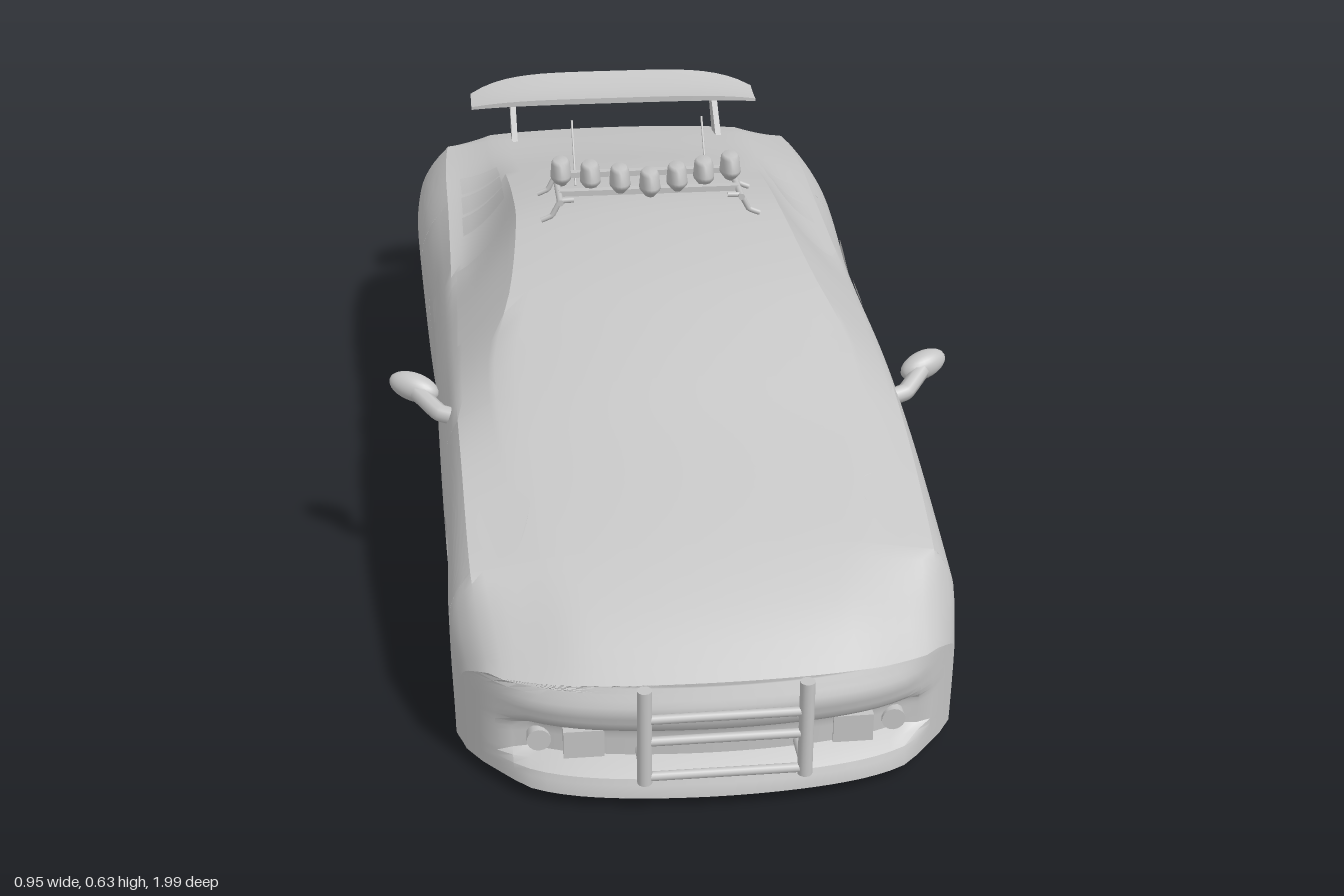
import * as THREE from 'three';
import { toCreasedNormals } from 'three/addons/utils/BufferGeometryUtils.js';

const V = (x, y, z) => new THREE.Vector3(x, y, z);
const { lerp, smoothstep } = THREE.MathUtils;

// Body stations: z, top y, roof edge x/y, belt x/y, widest x/y, sill x
const stations = [
  [0.95, 0.205, 0.20, 0.20, 0.335, 0.19, 0.375, 0.15, 0.37],
  [0.85, 0.258, 0.21, 0.252, 0.345, 0.23, 0.385, 0.18, 0.385],
  [0.73, 0.308, 0.24, 0.297, 0.355, 0.278, 0.39, 0.2, 0.385],
  [0.5, 0.388, 0.29, 0.367, 0.362, 0.348, 0.392, 0.25, 0.385],
  [0.3, 0.462, 0.30, 0.432, 0.367, 0.38, 0.397, 0.27, 0.388],
  [0.13, 0.51, 0.265, 0.493, 0.368, 0.392, 0.40, 0.29, 0.39],
  [-0.1, 0.54, 0.245, 0.526, 0.367, 0.40, 0.402, 0.3, 0.39],
  [-0.25, 0.534, 0.245, 0.518, 0.367, 0.41, 0.407, 0.3, 0.395],
  [-0.45, 0.505, 0.25, 0.488, 0.368, 0.422, 0.422, 0.31, 0.405],
  [-0.65, 0.466, 0.26, 0.455, 0.37, 0.43, 0.433, 0.31, 0.42],
  [-0.85, 0.437, 0.27, 0.433, 0.364, 0.42, 0.428, 0.3, 0.41],
  [-0.93, 0.425, 0.27, 0.422, 0.352, 0.41, 0.415, 0.3, 0.395],
];

// Smooth interpolation between stations
function stationAt(z) {
  const n = stations.length;
  let i = 0;
  while (i < n - 2 && z < stations[i + 1][0]) i++;
  const a = stations[i], b = stations[i + 1], p = stations[Math.max(0, i - 1)], q = stations[Math.min(n - 1, i + 2)];
  const h = b[0] - a[0], t = (z - a[0]) / h;
  return a.map((v, k) => {
    const m0 = (b[k] - p[k]) / (b[0] - p[0]) * h, m1 = (q[k] - v) / (q[0] - a[0]) * h;
    const t2 = t * t, t3 = t2 * t;
    return (2 * t3 - 3 * t2 + 1) * v + (t3 - 2 * t2 + t) * m0 + (3 * t2 - 2 * t3) * b[k] + (t3 - t2) * m1;
  });
}
function sideX(z, y) {
  const [, , , , bx, by, wx, wy, sx] = stationAt(z);
  return y > wy ? lerp(wx, bx, ((y - wy) / (by - wy)) ** 2) : lerp(wx, sx, ((wy - y) / wy) ** 2);
}
// Flank between belt (t = 0) and roof edge (t = 1), hollowed towards the rear shoulder
function flank(z, t) {
  const [, , rx, ry, bx, by] = stationAt(z);
  return [lerp(bx, rx, t), lerp(by, ry, t ** (1 + 0.8 * smoothstep(-z, -0.05, 0.3)))];
}
function topY(x, z) {
  const [, yc, rx, ry, bx] = stationAt(z);
  return x < rx ? lerp(yc, ry, (x / rx) ** 2) : flank(z, (bx - x) / (bx - rx))[1];
}
function table(rows, y) {
  if (y <= rows[0][0]) return rows[0][1];
  for (let i = 1; i < rows.length; i++)
    if (y <= rows[i][0]) return lerp(rows[i - 1][1], rows[i][1], (y - rows[i - 1][0]) / (rows[i][0] - rows[i - 1][0]));
  return rows[rows.length - 1][1];
}
const noseProfile = [[0.03, 0.025], [0.055, 0.015], [0.07, -0.02], [0.115, -0.02], [0.13, 0.008], [0.165, 0.016], [0.2, 0]];
const tailProfile = [[0.11, 0.04], [0.14, 0.045], [0.2, 0.065], [0.25, 0.065], [0.285, 0.04], [0.31, -0.008], [0.4, -0.008], [0.42, 0]];

// Rounds nose and tail in plan and gives them their bumper profiles
function bend(x, y, z) {
  if (z > 0.73) {
    const q = Math.abs(x) / 0.38, relief = lerp(table(noseProfile, y), 0.012, smoothstep(q, 0.72, 0.86));
    z += (z - 0.73) / 0.22 * (relief - 0.06 * q ** 2 - 0.1 * q ** 6);
  } else if (z < -0.84) {
    const q = Math.abs(x) / 0.42;
    z += (-z - 0.84) / 0.09 * (0.04 * q ** 2 + 0.05 * q ** 6 - table(tailProfile, y));
  }
  return V(x, y, z);
}

// Half cross-section from lower edge to top centre
function half(z, b) {
  const [, yc, rx, ry, , by] = stationAt(z), pts = [];
  for (let i = 0; i <= 18; i++) { const y = lerp(b, by, i / 18); pts.push([sideX(z, y), y]); }
  for (let i = 1; i <= 6; i++) pts.push(flank(z, i / 6));
  for (let i = 7; i >= 0; i--) pts.push([rx * i / 8, lerp(yc, ry, (i / 8) ** 2)]);
  return pts;
}

// Surface through rows of points
function grid(rows, crease = 0.6) {
  const g = new THREE.BufferGeometry(), idx = [], n = rows[0].length;
  g.setFromPoints(rows.flat());
  for (let i = 0; i < rows.length - 1; i++)
    for (let j = 0; j < n - 1; j++) {
      const a = i * n + j, b = a + n;
      idx.push(a, b, a + 1, b, b + 1, a + 1);
    }
  g.setIndex(idx);
  return toCreasedNormals(g, crease);
}

export function createModel() {
  const car = new THREE.Group();
  car.name = 'car';
  const grey = new THREE.MeshStandardMaterial({ color: 0xc4c4c4, side: THREE.DoubleSide });
  grey.name = 'plain grey';
  const add = (name, geo, x = 0, y = 0, z = 0) => {
    const m = new THREE.Mesh(geo, grey);
    m.name = name;
    m.position.set(x, y, z);
    car.add(m);
    return m;
  };
  const box = (name, w, h, d, x, y, z) => add(name, new THREE.BoxGeometry(w, h, d), x, y, z);
  const rod = (name, a, b, r, r2 = r) => {
    const d = b.clone().sub(a), m = add(name, new THREE.CylinderGeometry(r2, r, d.length(), 14));
    m.position.copy(a).addScaledVector(d, 0.5);
    m.quaternion.setFromUnitVectors(V(0, 1, 0), d.normalize());
  };
  const tube = (name, pts, r) => add(name, new THREE.TubeGeometry(new THREE.CatmullRomCurve3(pts, false, 'catmullrom', 0.2), 24, r, 8));
  const flat = pts => pts.map(p => new THREE.Vector2(...p));

  // Lower edge of the body with both wheel arches
  const run = (z0, b0, z1, b1, n) => Array.from({ length: n + 1 }, (_, i) => [lerp(z0, z1, i / n), lerp(b0, b1, i / n)]);
  const arch = (c, cy, r, b0, b1) => [[c + r, b0], ...Array.from({ length: 25 }, (_, i) =>
    [c + r * Math.cos(Math.PI * i / 24), cy + r * Math.sin(Math.PI * i / 24)]), [c - r, b1]];
  const front = run(0.95, 0.025, 0.73, 0.006, 8), middle = run(0.39, 0.003, -0.48, 0.035, 18), rear = run(-0.84, 0.06, -0.93, 0.105, 6);
  const arches = [arch(0.56, 0.095, 0.17, 0.006, 0.003), arch(-0.66, 0.12, 0.18, 0.035, 0.06)];
  const edge = [...front, ...arches[0], ...middle, ...arches[1], ...rear];
  add('bodyShell', grid(edge.map(([z, b]) => {
    const h = half(z, b);
    return [...h, ...h.slice(0, -1).reverse().map(([x, y]) => [-x, y])].map(([x, y]) => bend(x, y, z));
  })));

  // Nose, tail and floor panels
  const across = (X, y, z, s) => Array.from({ length: 33 }, (_, i) => bend(s * X * (1 - i / 16), y, z));
  add('noseFace', grid(half(0.95, 0.025).map(([x, y]) => across(x, y, 0.95, 1))));
  add('tailFace', grid(half(-0.93, 0.105).map(([x, y]) => across(x, y, -0.93, -1))));
  add('frontFloor', grid(front.map(([z, b]) => across(sideX(z, b), b, z, -1).map(p => p.setY(lerp(0.026, b, (p.x / 0.385) ** 4))))));
  add('rearFloor', grid(rear.map(([z, b]) => across(sideX(z, b), b, z, -1))));
  add('mainFloor', grid(middle.map(([z, b]) => {
    const X = sideX(z, b), f = Math.max(b, 0.026);
    const side = [V(X, b, z), V(0.36, f, z), V(0.11, f, z), V(0.11, 0.14, z)];
    return [...side.map(p => V(-p.x, p.y, z)), ...side.reverse()];
  })));
  for (const [z, d] of [[0.56, 0.34], [-0.66, 0.36]]) box('chassisDeck', 0.42, 0.01, d, 0, 0.15, z);
  box('frontBulkhead', 0.42, 0.12, 0.01, 0, 0.09, 0.73);
  box('rearBulkhead', 0.42, 0.1, 0.01, 0, 0.11, -0.84);

  // Chassis rails, cross members and exhaust
  for (const s of [-1, 1]) {
    box('chassisRail', 0.02, 0.025, 1.5, s * 0.075, 0.06, -0.06);
    for (const z of [0.39, -0.48]) box('floorEnd', 0.1, 0.115, 0.01, s * 0.16, 0.09, z);
    rod('exhaustPipe', V(s * 0.04, 0.09, 0.1), V(s * 0.06, 0.09, -0.8), 0.014);
  }
  for (const z of [0.62, 0.48, 0.05, -0.3, -0.58, -0.76]) box('crossMember', 0.4, 0.018, 0.022, 0, 0.055, z);
  const gearbox = add('gearbox', new THREE.SphereGeometry(0.07, 20, 12), 0, 0.11, -0.45);
  gearbox.scale.set(0.9, 0.7, 1.8);

  // Plates laid on the body: outlines given as (z, y) on the side or (x, z) on the bonnet
  const plate = (name, pts, place) => {
    const g = new THREE.ShapeGeometry(new THREE.Shape(new THREE.SplineCurve(flat(pts)).getPoints(24)));
    const p = g.attributes.position;
    for (let i = 0; i < p.count; i++) p.setXYZ(i, ...place(p.getX(i), p.getY(i)));
    g.computeVertexNormals();
    add(name, g);
  };
  const flankPlate = (name, s, z0, z1, t0, t1, lift, slant = 0) => add(name, grid(Array.from({ length: 9 }, (_, i) =>
    Array.from({ length: 6 }, (_, j) => {
      const t = lerp(t0, t1, j / 5), z = lerp(z0, z1, i / 8) - slant * (1 - t), [x, y] = flank(z, t);
      return V(s * (x + lift), y + lift * 0.7, z);
    }))));

  for (const s of [-1, 1]) {
    // Wheel wells and suspension
    arches.forEach((a, k) => {
      const c = k ? -0.66 : 0.56, up = k ? 0.022 : 0;
      add('wheelWell', grid(a.map(([z, b]) => [V(s * sideX(z, b), b, z), V(s * 0.21, Math.max(b, 0.026), z)])));
      const wall = new THREE.ShapeGeometry(new THREE.Shape(flat(a.map(([z, y]) => [z, Math.max(y, 0.026)]))));
      wall.rotateY(-Math.PI / 2);
      add('wellInnerWall', wall, s * 0.21);
      rod('damper', V(s * 0.27, 0.18 + up, c), V(s * 0.25, 0.26 + up, c), 0.018);
      rod('hubCarrier', V(s * 0.31, 0.06 + up, c), V(s * 0.29, 0.2 + up, c), 0.011);
      rod('axle', V(s * 0.08, 0.12 + up, c), V(s * 0.335, 0.12 + up, c), 0.014);
      for (const y of [0.07, 0.165]) for (const d of [-0.075, 0.075]) {
        rod('controlArm', V(s * 0.19, y + up, c + d), V(s * 0.31, y + up, c + d * 0.1), 0.008);
        const joint = add('armJoint', new THREE.SphereGeometry(0.014, 12, 8), s * 0.24, y + up, c + d);
        joint.scale.x = 1.6;
        rod('tieRod', V(s * 0.28, y + up, c), V(s * 0.25, y + up, c + d), 0.006);
      }
    });
    // Side glass, engine louvres, intake, handle and headlamp
    flankPlate('sideWindow', s, 0.17, -0.15, 0.1, 0.92, 0.002);
    for (let i = 0; i < 3; i++) flankPlate('engineLouvre', s, -0.25 - i * 0.11, -0.34 - i * 0.11, 0.3, 0.95, 0.01 - i * 0.002, 0.04);
    const onSide = (z, y) => [s * (sideX(z, y) + 0.004), y, z];
    plate('sideIntake', [[-0.21, 0.25], [-0.27, 0.315], [-0.36, 0.33], [-0.45, 0.325], [-0.38, 0.26], [-0.27, 0.235], [-0.21, 0.25]], onSide);
    plate('doorHandle', [[-0.08, 0.335], [-0.12, 0.352], [-0.17, 0.355], [-0.17, 0.335], [-0.08, 0.335]], onSide);
    plate('headlamp', [[0.255, 0.61], [0.3, 0.585], [0.34, 0.62], [0.335, 0.69], [0.3, 0.72], [0.275, 0.69], [0.255, 0.61]],
      (x, z) => [s * x, topY(x, z) + 0.004, z]);
    const vent = add('sillVent', new THREE.SphereGeometry(0.02, 16, 10), s * 0.396, 0.115, -0.34);
    vent.scale.set(0.4, 0.9, 1.5);
    // Bumper lamps and front bar posts
    const fog = bend(0.265, 0.09, 0.95).z, inner = bend(0.2, 0.09, 0.95).z;
    rod('fogLamp', V(s * 0.265, 0.09, fog - 0.03), V(s * 0.265, 0.09, fog + 0.012), 0.018);
    box('indicator', 0.06, 0.045, 0.02, s * 0.2, 0.092, inner);
    rod('frontBarPost', V(s * 0.117, 0.065, 0.985), V(s * 0.117, 0.222, 0.985), 0.011);
    for (const y of [0.08, 0.15]) rod('frontBarMount', V(s * 0.117, y, 0.985), V(s * 0.117, y, 0.92), 0.008);
    // Door mirrors
    tube('mirrorArm', [V(s * 0.365, 0.345, 0.33), V(s * 0.395, 0.35, 0.32), V(s * 0.43, 0.37, 0.28)], 0.015);
    const mirror = add('mirrorHead', new THREE.SphereGeometry(1, 24, 16), s * 0.436, 0.373, 0.265);
    mirror.scale.set(0.045, 0.024, 0.024);
    mirror.rotation.set(0, s * 0.45, s * 0.2);
    // Tail lamps and exhaust tips
    for (const [x, y] of [[0.29, 0.37], [0.345, 0.36], [0.325, 0.325]]) {
      const z = bend(x, y, -0.93).z;
      rod('tailLamp', V(s * x, y, z + 0.02), V(s * x, y, z - 0.012), 0.024);
    }
    for (const x of [0.09, 0.125]) rod('exhaustTip', V(s * x, 0.115, -0.9), V(s * x, 0.115, -0.985), 0.014);
    // Wing supports
    const fin = new THREE.ExtrudeGeometry(new THREE.Shape(flat([[-0.8, 0.435], [-0.87, 0.425], [-0.955, 0.52], [-0.89, 0.505]])),
      { depth: 0.012, bevelEnabled: false });
    fin.rotateY(-Math.PI / 2);
    add('wingSupport', fin, s * 0.22 + 0.006);
    // Aerials and roof rack feet
    rod('aerial', V(s * 0.125, 0.53, -0.265), V(s * 0.125, 0.632, -0.35), 0.002);
    for (const z of [-0.08, -0.22])
      tube('rackLeg', [V(s * 0.2, 0.533, z), V(s * 0.18, 0.542, z), V(s * 0.165, 0.568, z), V(s * 0.14, 0.57, z)], 0.005);
    rod('rackRail', V(s * 0.165, 0.568, -0.07), V(s * 0.165, 0.568, -0.235), 0.006);
  }

  // Front bar, rear grille and plate panel
  for (const y of [0.075, 0.135, 0.172]) rod('frontBarRail', V(-0.117, y, 0.985), V(0.117, y, 0.985), 0.007);
  for (let i = 0; i < 6; i++) box('rearGrilleSlat', 0.46, 0.006, 0.03, 0, 0.325 + i * 0.013, -0.918);
  box('platePanel', 0.17, 0.045, 0.008, 0, 0.17, -0.985);

  // Roof rack bars and lamps in a shallow V
  for (const z of [-0.12, -0.22]) box('rackBar', 0.33, 0.01, 0.016, 0, 0.57, z);
  const lampShape = new THREE.LatheGeometry(flat([[0, 0], [0.01, 0], [0.019, 0.012], [0.019, 0.018], [0.017, 0.04], [0.013, 0.046], [0, 0.047]]), 18);
  for (let i = -3; i <= 3; i++) {
    const lamp = add('roofLamp', lampShape, i * 0.0525, 0.569, -0.1 - Math.abs(i) * 0.025);
    lamp.scale.z = 1.8;
  }

  // Arched rear wing
  const wing = new THREE.BoxGeometry(0.62, 0.012, 1, 24, 1, 6), w = wing.attributes.position;
  for (let i = 0; i < w.count; i++) {
    const x = w.getX(i), t = 0.5 - w.getZ(i), q = Math.abs(x) / 0.31;
    const chord = 0.115 * (1 - 0.35 * q ** 6), thick = (1 - 0.6 * t) * (1 - 0.5 * q ** 4);
    w.setXYZ(i, x, w.getY(i) * thick + 0.508 + 0.03 * t * t * (1 - 0.7 * q ** 4) - 0.012 * q ** 4, -0.86 - chord * t - 0.012 * q ** 4);
  }
  add('rearWing', toCreasedNormals(wing, 0.6));

  return car;
}
